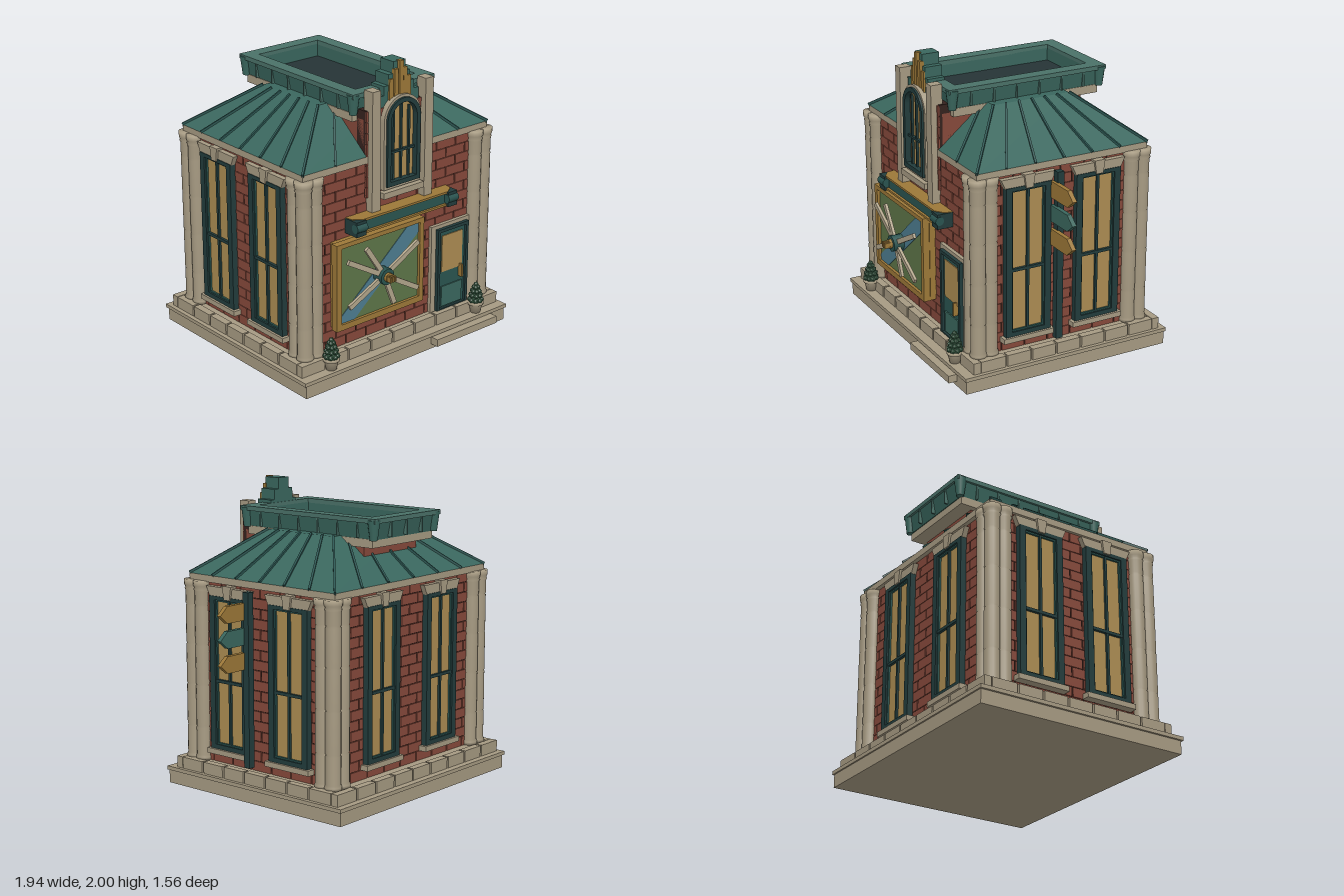
import * as THREE from 'three';
import { mergeGeometries } from 'three/addons/utils/BufferGeometryUtils.js';

const mat = (color, opts = {}) => new THREE.MeshStandardMaterial({ color, ...opts });
const M = {
  stone: mat(0xa69a82), brick: mat(0x86493b), mortar: mat(0x35221e), roof: mat(0x3a675e),
  rim: mat(0x4a7168), dark: mat(0x223c3c), teal: mat(0x2a5450), floor: mat(0x263436),
  gold: mat(0x9c7838), glass: mat(0xac8c52), grass: mat(0x5d7548), water: mat(0x4d7d90),
  leaf: mat(0x3a6248, { flatShading: true }), blade: mat(0xb3a68c),
};
const CX = -0.09, CZ = -0.0225;      // middle of the building
const HX = 0.76, HZ = 0.5975;        // half size of the walls

const add = (parent, name, geo, m) => {
  const mesh = new THREE.Mesh(geo, m);
  mesh.name = name;
  parent.add(mesh);
  return mesh;
};
const boxGeo = (x0, x1, y0, y1, z0, z1) =>
  new THREE.BoxGeometry(x1 - x0, y1 - y0, z1 - z0).translate((x0 + x1) / 2, (y0 + y1) / 2, (z0 + z1) / 2);
const box = (parent, name, m, ...b) => add(parent, name, boxGeo(...b), m);
const group = (parent, name) => {
  const g = new THREE.Group();
  g.name = name;
  parent.add(g);
  return g;
};
const extrude = (shape, depth) =>
  new THREE.ExtrudeGeometry(shape, { depth, bevelEnabled: false, curveSegments: 16 });
const poly = (...pts) => new THREE.Shape(pts.map(([x, y]) => new THREE.Vector2(x, y)));
const rect = (x0, x1, y0, y1) => poly([x0, y0], [x1, y0], [x1, y1], [x0, y1]);
const ring = (outer, inner) => { outer.holes.push(inner); return outer; };

// Box whose top is a different rectangle from its bottom: [x0, x1, z0, z1]
function frustum(lo, hi, y0, y1) {
  const g = new THREE.BoxGeometry(1, 1, 1).toNonIndexed(), p = g.attributes.position;
  for (let i = 0; i < p.count; i++) {
    const r = p.getY(i) > 0 ? hi : lo;
    p.setXYZ(i, p.getX(i) > 0 ? r[1] : r[0], p.getY(i) > 0 ? y1 : y0, p.getZ(i) > 0 ? r[3] : r[2]);
  }
  g.computeVertexNormals();
  return g;
}
// Square bar between two points
function beam(a, b, w, h) {
  const o = new THREE.Object3D();
  o.position.copy(a).lerp(b, 0.5);
  o.lookAt(b);
  o.updateMatrix();
  return new THREE.BoxGeometry(w, h, a.distanceTo(b)).applyMatrix4(o.matrix);
}

// Staggered bricks on a wall facing +z, width centred on x = 0
function bricks(w, y0, y1, rows) {
  const out = [], h = (y1 - y0) / rows, len = 0.17;
  for (let r = 0; r < rows; r++)
    for (let x = -w / 2 - (r % 2) * len / 2; x < w / 2 - 0.01; x += len) {
      const a = Math.max(x, -w / 2), b = Math.min(x + len - 0.008, w / 2);
      if (b - a > 0.01) out.push(boxGeo(a, b, y0 + r * h, y0 + (r + 1) * h - 0.004, -0.012, 0));
    }
  return mergeGeometries(out);
}

// Tall sash window facing +z
function tallWindow(parent, x) {
  const g = group(parent, 'tallWindow');
  g.position.x = x;
  box(g, 'windowGlass', M.glass, -0.13, 0.13, 0.3, 1.29, 0, 0.015);
  add(g, 'windowFrame', extrude(ring(rect(-0.163, 0.163, 0.28, 1.3), rect(-0.118, 0.118, 0.315, 1.275)), 0.04), M.dark);
  add(g, 'windowInnerFrame', extrude(ring(rect(-0.12, 0.12, 0.31, 1.28), rect(-0.108, 0.108, 0.325, 1.265)), 0.028), M.teal);
  box(g, 'mullion', M.dark, -0.009, 0.009, 0.31, 1.28, 0.01, 0.03);
  box(g, 'transom', M.dark, -0.12, 0.12, 0.73, 0.75, 0.01, 0.033);
  box(g, 'windowSill', M.stone, -0.185, 0.185, 0.25, 0.285, 0, 0.055);
  add(g, 'lintel', extrude(poly([-0.165, 1.295], [0.165, 1.295], [0.195, 1.36], [-0.195, 1.36]), 0.035), M.stone);
  add(g, 'keystone', extrude(poly([-0.025, 1.285], [0.025, 1.285], [0.038, 1.375], [-0.038, 1.375]), 0.05), M.stone);
}

function buildBase(root) {
  const g = group(root, 'base');
  box(g, 'slab', M.stone, -0.96, 0.78, 0, 0.095, -0.77, 0.72);
  box(g, 'slabLip', M.stone, -0.975, 0.79, 0.09, 0.115, -0.78, 0.73);
  box(g, 'doorStep', M.stone, 0.1, 0.65, 0.035, 0.085, 0.7, 0.78);
  box(g, 'plinth', M.stone, -0.925, 0.745, 0.11, 0.185, -0.715, 0.64);
  // Row of plinth blocks around all four sides
  const out = [], x0 = -0.945, x1 = 0.765, z0 = -0.735, z1 = 0.66;
  const run = (a, b, n, put) => {
    const s = (b - a) / n;
    for (let i = 0; i < n; i++) put(a + i * s + (i ? 0.007 : 0), a + (i + 1) * s - (i < n - 1 ? 0.007 : 0));
  };
  run(x0, x1, 9, (a, b) => out.push(boxGeo(a, b, 0.115, 0.192, z1 - 0.05, z1), boxGeo(a, b, 0.115, 0.192, z0, z0 + 0.05)));
  run(z0 + 0.055, z1 - 0.055, 7, (a, b) => out.push(boxGeo(x0, x0 + 0.05, 0.115, 0.192, a, b), boxGeo(x1 - 0.05, x1, 0.115, 0.192, a, b)));
  add(g, 'plinthBlocks', mergeGeometries(out), M.stone);
}

function buildWalls(root) {
  box(root, 'wallCore', M.mortar, CX - HX + 0.008, CX + HX - 0.008, 0.18, 1.4, CZ - HZ + 0.008, CZ + HZ - 0.008);
  const sides = [['front', 0, HX, HZ], ['right', 1, HZ, HX], ['back', 2, HX, HZ], ['left', 3, HZ, HX]];
  for (const [name, turn, half, dist] of sides) {
    const g = group(root, name + 'Wall'), a = turn * Math.PI / 2;
    g.rotation.y = a;
    g.position.set(CX + Math.sin(a) * dist, 0, CZ + Math.cos(a) * dist);
    add(g, 'bricks', bricks(half * 2, 0.185, 1.385, 18), M.brick);
    if (turn) for (const s of [-1, 1]) tallWindow(g, s * (turn === 2 ? 0.305 : 0.255));
  }
  // Three clustered shafts at each corner
  const prof = [[0, 0.185], [0.056, 0.185], [0.056, 0.205], [0.05, 0.22]];
  for (const y of [0.41, 0.69, 0.96, 1.22]) prof.push([0.05, y - 0.008], [0.045, y], [0.05, y + 0.008]);
  prof.push([0.05, 1.315], [0.056, 1.325], [0.05, 1.335], [0.058, 1.35], [0.06, 1.385], [0, 1.385]);
  const shaft = new THREE.LatheGeometry(prof.map(p => new THREE.Vector2(...p)), 16);
  for (const sx of [-1, 1]) for (const sz of [-1, 1]) {
    const g = group(root, 'cornerColumns');
    for (const [dx, dz] of [[0, 0], [0.083, 0], [0, 0.083]])
      add(g, 'columnShaft', shaft, M.stone).position.set(CX + sx * (0.763 - dx), 0, CZ + sz * (0.6 - dz));
  }
  box(root, 'eaveCornice', M.stone, -0.87, 0.69, 1.38, 1.425, -0.65, 0.59);
}

function buildRoof(root) {
  const lo = [-0.87, 0.69, -0.65, 0.59], hi = [-0.47, 0.29, -0.3, 0.255], y0 = 1.425, y1 = 1.7;
  add(root, 'hippedRoof', frustum(lo, hi, y0, y1), M.roof);
  // Standing seams fanning from the eaves to the top
  const V = (x, y, z) => new THREE.Vector3(x, y, z), L = THREE.MathUtils.lerp, seams = [];
  for (let i = 0; i <= 6; i++) {
    const t = i / 6;
    for (const s of [0, 1])
      seams.push(beam(V(lo[s], y0, L(lo[2], lo[3], t)), V(hi[s], y1, L(hi[2], hi[3], t)), 0.014, 0.024));
    for (const s of [2, 3]) if (i && i < 6 && (s === 2 || i < 2 || i > 4))
      seams.push(beam(V(L(lo[0], lo[1], t), y0, lo[s]), V(L(hi[0], hi[1], t), y1, hi[s]), 0.014, 0.024));
  }
  add(root, 'roofSeams', mergeGeometries(seams), M.teal);

  // Raised brick core with flaring parapet around a sunken deck
  box(root, 'upperCore', M.brick, -0.36, 0.18, 1.4, 1.66, -0.46, 0.56);
  box(root, 'parapetCornice', M.stone, -0.4, 0.22, 1.64, 1.695, -0.56, 0.5);
  const g = group(root, 'parapet');
  box(g, 'deck', M.floor, -0.36, 0.18, 1.69, 1.72, -0.53, 0.48);
  const flat = (outer, inner, a, b) => extrude(ring(rect(...outer), rect(...inner)), b - a).rotateX(Math.PI / 2).translate(0, b, 0);
  const wall = flat([-0.415, 0.235, -0.59, 0.53], [-0.34, 0.16, -0.51, 0.46], 1.69, 1.805), p = wall.attributes.position;
  for (let i = 0; i < p.count; i++) if (p.getY(i) < 1.7) {
    if (Math.abs(p.getX(i) - CX) > 0.3) p.setX(i, CX + Math.sign(p.getX(i) - CX) * 0.305);
    if (p.getZ(i) < -0.55 || p.getZ(i) > 0.5) p.setZ(i, p.getZ(i) < 0 ? -0.565 : 0.505);
  }
  wall.computeVertexNormals();
  add(g, 'parapetWall', wall, M.roof);
  add(g, 'parapetRim', flat([-0.43, 0.25, -0.605, 0.545], [-0.34, 0.16, -0.51, 0.46], 1.8, 1.83), M.rim);
  for (const x of [-0.4, 0.22]) {
    for (const z of [-0.57, 0.51])
      add(g, 'parapetCorner', new THREE.CylinderGeometry(0.042, 0.025, 0.13, 12), M.roof).position.set(x, 1.755, z);
    for (let i = 0; i < 6; i++) box(g, 'parapetRib', M.rim, x - 0.018, x + 0.018, 1.7, 1.8, -0.45 + i * 0.165, -0.44 + i * 0.165);
  }
  for (const x of [-0.25, -0.09, 0.07]) box(g, 'parapetRib', M.rim, x - 0.005, x + 0.005, 1.7, 1.8, -0.597, -0.57);
}

function buildBay(root) {
  const g = group(root, 'frontBay');
  box(g, 'bayWall', M.mortar, -0.36, 0.18, 1.15, 1.72, 0.5, 0.58);
  add(g, 'bayBricks', bricks(0.54, 1.15, 1.72, 8), M.brick).position.set(CX, 0, 0.59);
  for (const x of [-0.312, 0.13]) box(g, 'bayPier', M.stone, x - 0.034, x + 0.034, 1.06, 1.85, 0.55, 0.63);
  const arch = (r, y0) => {
    const s = new THREE.Shape().moveTo(-r, y0).lineTo(r, y0).lineTo(r, 1.63);
    s.absarc(0, 1.63, r, 0, Math.PI, false);
    return s.closePath();
  };
  const put = (name, geo, m, z) => add(g, name, geo, m).position.set(CX, 0, z);
  put('archSurround', extrude(ring(arch(0.155, 1.18), arch(0.13, 1.2)), 0.045), M.stone, 0.58);
  put('archFrame', extrude(ring(arch(0.138, 1.2), arch(0.108, 1.23)), 0.06), M.dark, 0.58);
  put('archGlass', extrude(arch(0.12, 1.21), 0.02), M.glass, 0.58);
  for (const x of [-0.065, 0, 0.065]) put('archMullion', boxGeo(x - 0.007, x + 0.007, 1.22, x ? 1.7 : 1.73, 0, 0.03), M.dark, 0.585);
  put('archTransom', boxGeo(-0.115, 0.115, 1.41, 1.425, 0, 0.035), M.dark, 0.585);
  box(g, 'baySill', M.stone, -0.26, 0.08, 1.13, 1.17, 0.56, 0.645);
  // Stepped crest with gold fins
  for (const [w, y] of [[0.165, 1.79], [0.125, 1.85], [0.09, 1.92], [0.05, 1.995]])
    box(g, 'crestStep', M.roof, CX - w, CX + w, 1.68, y, 0.465, 0.585);
  [1.89, 1.95, 2, 1.95, 1.89].forEach((y, i) => {
    const x = CX + (i - 2) * 0.037, d = 0.61 - Math.abs(i - 2) * 0.006;
    box(g, 'crestFin', M.gold, x - 0.0155, x + 0.0155, 1.77 - Math.abs(i - 2) * 0.012, y, 0.575, d);
  });
  // Sign beam below the bay
  const s = group(root, 'signBeam');
  box(s, 'beamBody', M.teal, -0.46, 0.28, 0.97, 1.05, 0.56, 0.655);
  for (const y of [0.96, 1.045]) {
    const plate = poly([-0.52, 0.57], [0.34, 0.57], [0.33, 0.63], [0.27, 0.672], [-0.45, 0.672], [-0.51, 0.63]);
    add(s, 'beamTrim', extrude(plate, 0.014).rotateX(Math.PI / 2).translate(0, y + 0.014, 0), M.gold);
  }
  for (const x of [-0.48, 0.3]) {
    box(s, 'beamEnd', M.dark, x - 0.04, x + 0.04, 0.955, 1.055, 0.56, 0.685);
    add(s, 'beamScroll', new THREE.CylinderGeometry(0.03, 0.03, 0.085, 12).rotateZ(Math.PI / 2), M.teal).position.set(x, 1.01, 0.67);
  }
}

function buildBillboard(root) {
  const g = group(root, 'billboard'), hx = -0.29, hy = 0.635;
  box(g, 'backing', M.gold, -0.64, 0.08, 0.345, 0.925, 0.56, 0.615);
  add(g, 'frame', extrude(ring(rect(-0.66, 0.075, 0.34, 0.93), rect(-0.62, 0.04, 0.38, 0.9)), 0.05).translate(0, 0, 0.61), M.gold);
  box(g, 'field', M.grass, -0.63, 0.05, 0.37, 0.91, 0.61, 0.64);
  add(g, 'river', extrude(poly([-0.62, 0.38], [-0.5, 0.38], [0.04, 0.83], [0.04, 0.9], [-0.05, 0.9], [-0.62, 0.42]), 0.004).translate(0, 0, 0.64), M.water);
  for (const [x, y] of [[-0.59, 0.81], [-0.44, 0.86], [0, 0.79], [-0.58, 0.495], [-0.205, 0.42], [0, 0.465]])
    add(g, 'blade', beam(new THREE.Vector3(hx, hy, 0.685), new THREE.Vector3(x, y, 0.685), 0.02, 0.034), M.blade);
  const disc = (name, r, z0, z1, m, n) =>
    add(g, name, new THREE.CylinderGeometry(r, r, z1 - z0, n).rotateX(Math.PI / 2), m).position.set(hx, hy, (z0 + z1) / 2);
  disc('hub', 0.056, 0.64, 0.72, M.teal, 10);
  disc('hubCap', 0.032, 0.72, 0.74, M.gold, 10);
  for (const x of [-0.02, 0, 0.02]) box(g, 'hubPin', M.gold, hx + x - 0.006, hx + x + 0.006, hy - 0.018, hy + 0.018, 0.73, 0.775);
}

function buildDoor(root) {
  const g = group(root, 'door');
  box(g, 'doorSurround', M.stone, 0.2, 0.54, 0.18, 0.8, 0.56, 0.6);
  box(g, 'doorLeaf', M.teal, 0.25, 0.51, 0.19, 0.77, 0.58, 0.608);
  add(g, 'doorFrame', extrude(ring(rect(0.24, 0.515, 0.19, 0.775), rect(0.262, 0.493, 0.2, 0.753)), 0.035).translate(0, 0, 0.59), M.dark);
  add(g, 'doorPane', boxGeo(0.285, 0.47, 0.46, 0.72, 0.6, 0.614), M.glass);
  add(g, 'doorPanel', boxGeo(0.285, 0.47, 0.21, 0.355, 0.6, 0.616), M.roof);
  box(g, 'doorHandle', M.gold, 0.443, 0.457, 0.39, 0.48, 0.605, 0.64);
}

function buildSignpost(root) {
  const g = group(root, 'signpost');
  box(g, 'post', M.dark, 0.71, 0.757, 0.22, 1.365, 0.008, 0.055);
  [[1.24, M.gold], [1.08, M.roof], [0.92, M.gold]].forEach(([y, m]) => {
    const arrow = poly([0.7, y - 0.055], [0.905, y - 0.055], [0.97, y], [0.905, y + 0.055], [0.7, y + 0.055]);
    add(g, 'arrowSign', extrude(arrow, 0.03).translate(0, 0, 0.045), m);
  });
}

function buildPlants(root) {
  const pot = [[0, 0.118], [0.034, 0.118], [0.046, 0.175], [0.054, 0.178], [0.054, 0.195], [0, 0.195]].map(p => new THREE.Vector2(...p));
  for (const x of [-0.725, 0.545]) {
    const g = group(root, 'pottedShrub');
    g.position.set(x, 0, 0.68);
    add(g, 'pot', new THREE.LatheGeometry(pot, 16), M.stone);
    // Shrinking rings of leaf clumps
    [[8, 0.04, 0.21], [7, 0.033, 0.242], [6, 0.024, 0.272], [4, 0.013, 0.3], [1, 0, 0.32]].forEach(([n, r, y], k) => {
      for (let i = 0; i < n; i++) {
        const a = (i + k * 0.5) / n * Math.PI * 2;
        add(g, 'leafClump', new THREE.IcosahedronGeometry(0.018, 0), M.leaf).position.set(Math.cos(a) * r, y, Math.sin(a) * r);
      }
    });
    add(g, 'shrubCore', new THREE.ConeGeometry(0.045, 0.14, 8).translate(0, 0.26, 0), M.leaf);
  }
}

export function createModel() {
  const root = new THREE.Group();
  root.name = 'townhouse';
  [buildBase, buildWalls, buildRoof, buildBay, buildBillboard, buildDoor, buildSignpost, buildPlants].forEach(f => f(root));
  return root;
}
